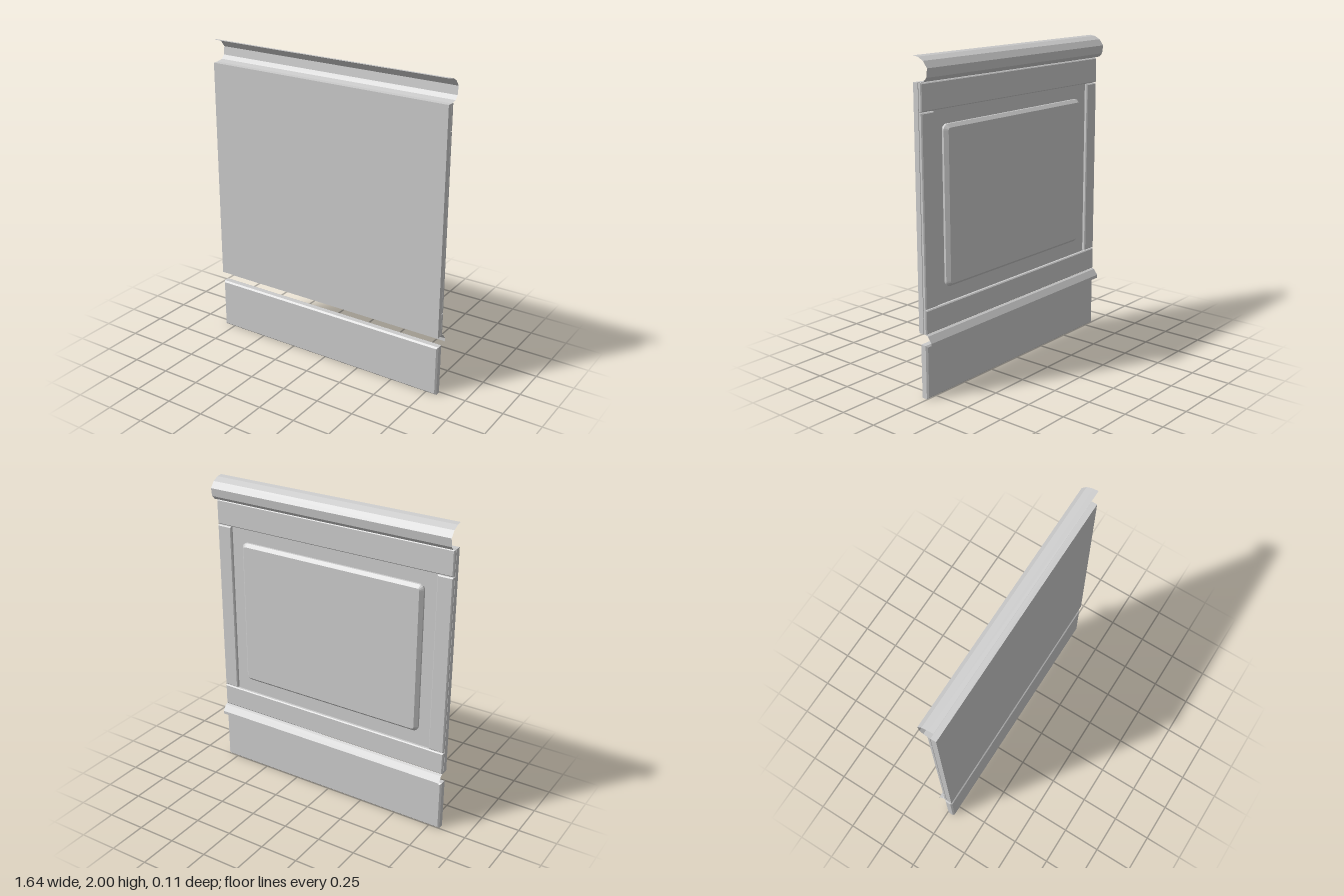
import * as THREE from 'three';

const W = 1.645; // overall width
const material = new THREE.MeshStandardMaterial({ color: 0xcccccc, flatShading: true });
const sheetMaterial = new THREE.MeshStandardMaterial({ color: 0xcccccc, flatShading: true, side: THREE.DoubleSide });

function add(group, name, geometry, mat = material) {
  const mesh = new THREE.Mesh(geometry, mat);
  mesh.name = name;
  group.add(mesh);
  return mesh;
}

// Rectangle outline, optionally with rounded corners
function rectangle(w, h, r = 0) {
  const s = new THREE.Shape();
  const x = w / 2, y = h / 2;
  if (r === 0) {
    s.moveTo(-x, -y); s.lineTo(x, -y); s.lineTo(x, y); s.lineTo(-x, y);
  } else {
    s.moveTo(-x + r, -y); s.lineTo(x - r, -y);
    s.quadraticCurveTo(x, -y, x, -y + r); s.lineTo(x, y - r);
    s.quadraticCurveTo(x, y, x - r, y); s.lineTo(-x + r, y);
    s.quadraticCurveTo(-x, y, -x, y - r); s.lineTo(-x, -y + r);
    s.quadraticCurveTo(-x, -y, -x + r, -y);
  }
  s.closePath();
  return s;
}

// Board with chamfered edges, given by its limits
function board(x0, x1, y0, y1, z0, z1, bevel, radius = 0) {
  const geometry = new THREE.ExtrudeGeometry(rectangle(x1 - x0 - 2 * bevel, y1 - y0 - 2 * bevel, radius), {
    depth: z1 - z0 - 2 * bevel, bevelEnabled: true, bevelSegments: 1,
    bevelSize: bevel, bevelThickness: bevel, curveSegments: 4,
  });
  return geometry.translate((x0 + x1) / 2, (y0 + y1) / 2, z0 + bevel);
}

// Thin moulding: a [z, y] profile swept across the width
function moulding(profile) {
  const geometry = new THREE.PlaneGeometry(W, 1, 1, profile.length - 1);
  const p = geometry.attributes.position;
  profile.forEach(([z, y], i) => {
    for (let k = 0; k < 2; k++) p.setXYZ(i * 2 + k, p.getX(i * 2 + k), y, z);
  });
  const flat = geometry.toNonIndexed();
  flat.computeVertexNormals();
  return flat;
}

export function createModel() {
  const group = new THREE.Group();
  group.name = 'wallPanel';
  const half = W / 2;

  // Skirting board along the floor
  add(group, 'skirtingBoard', board(-half, half, 0, 0.333, -0.005, 0.05, 0.01));

  // Plain front sheet
  add(group, 'frontSheet', new THREE.BoxGeometry(W, 1.453, 0.035).translate(0, 1.1275, 0.0365));

  // Frame on the back
  add(group, 'topRail', board(-half, half, 1.693, 1.853, -0.005, 0.021, 0.006));
  add(group, 'bottomRail', board(-half, half, 0.402, 0.547, -0.005, 0.021, 0.006));
  for (const side of [-1, 1]) {
    const x = side * (half - 0.05);
    add(group, side > 0 ? 'leftStile' : 'rightStile', board(x - 0.05, x + 0.05, 0.552, 1.688, -0.005, 0.021, 0.006));
  }

  // Raised field inside the frame
  add(group, 'raisedField', board(-0.64, 0.64, 0.642, 1.602, -0.015, 0.045, 0.02, 0.015));

  // Curved moulding on top
  add(group, 'topMoulding', moulding([
    [0.05, 2.0], [0.015, 1.995], [-0.025, 1.975], [-0.054, 1.937],
    [-0.047, 1.885], [-0.025, 1.862], [0.02, 1.853],
  ]), sheetMaterial);

  // Small sloped moulding above the skirting
  add(group, 'lowerMoulding', moulding([
    [0.0, 0.402], [-0.015, 0.395], [-0.043, 0.358], [-0.043, 0.337],
  ]), sheetMaterial);

  return group;
}
